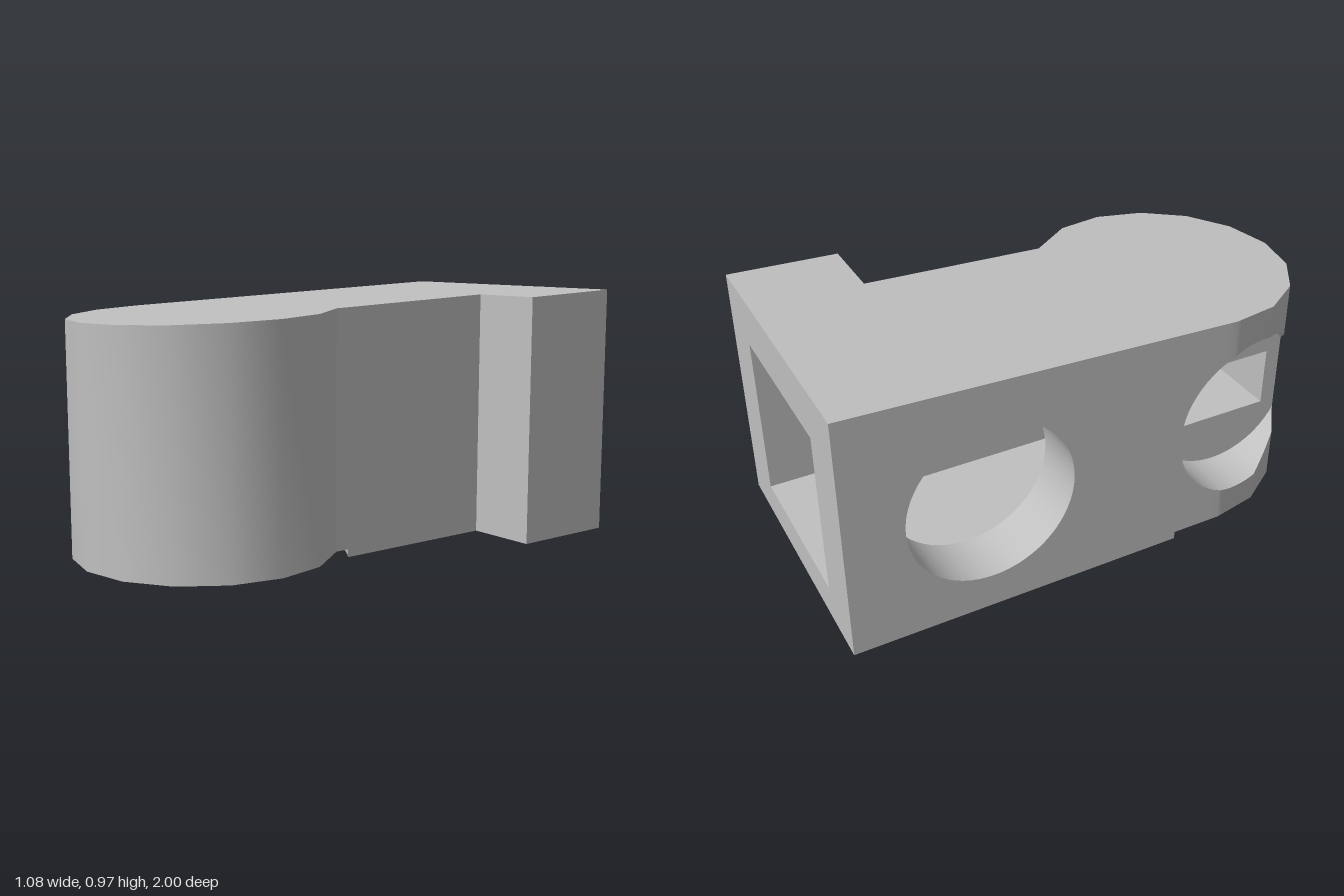
import * as THREE from 'three';
import { toCreasedNormals } from 'three/addons/utils/BufferGeometryUtils.js';

const L = -0.54, R = 0.267, W = 0.54, CX = -0.055, CZ = 0.51, RAD = 0.485;
const IN = -0.325, HY = 0.457, HR = 0.32;       // inner wall plane, side hole height and radius
const HOLES = [-0.46, 0.625];                   // z centres of the side holes
const LIFT = 0.03;                              // underside height below the round end
const top = z => 0.927 - 0.0385 * z;
const disc = d => {
  const a = d * Math.PI / 180;
  return [CX + RAD * Math.sin(a), CZ + RAD * Math.cos(a)];
};

export function createModel() {
  const group = new THREE.Group();
  const grey = new THREE.MeshStandardMaterial({ color: 0xc0c0c0, side: THREE.DoubleSide });

  const add = (name, geometry) => {
    const mesh = new THREE.Mesh(geometry, grey);
    mesh.name = name;
    group.add(mesh);
  };
  // Strips of quads between pairs of matching point rows
  const strips = (name, ...pairs) => {
    const p = [];
    for (const [a, b] of pairs)
      for (let i = 0; i < a.length - 1; i++)
        p.push(...a[i], ...a[i + 1], ...b[i + 1], ...a[i], ...b[i + 1], ...b[i]);
    const g = new THREE.BufferGeometry();
    g.setAttribute('position', new THREE.Float32BufferAttribute(p, 3));
    add(name, toCreasedNormals(g, 0.6));
  };
  // Flat face with holes, placed in space by a rule
  const face = (name, pts, holes, place) => {
    const v = q => q.map(([x, y]) => new THREE.Vector2(x, y));
    const s = new THREE.Shape(v(pts));
    holes.forEach(h => s.holes.push(new THREE.Path(v(h))));
    const g = new THREE.ShapeGeometry(s), pos = g.attributes.position;
    for (let i = 0; i < pos.count; i++) pos.setXYZ(i, ...place(pos.getX(i), pos.getY(i)));
    g.computeVertexNormals();
    add(name, g);
  };
  const rect = (a, b, c, d) => [[a, c], [b, c], [b, d], [a, d]];
  const circle = (cx, cy, r, n = 40) => Array.from({ length: n }, (_, i) => {
    const t = i / n * 2 * Math.PI;
    return [cx + r * Math.cos(t), cy + r * Math.sin(t)];
  });
  const closed = a => [...a, a[0]];
  const level = (pts, y) => pts.map(([x, z]) => [x, y, z]);

  // Plan outline, from the back round the right side to the front
  const rr = 0.525;
  const zR = CZ - Math.sqrt(rr * rr - (R - CX) ** 2), zL = CZ - Math.sqrt(rr * rr - (L - CX) ** 2);
  const round = [112.5, 90, 67.5, 45, 22.5, 0, -22.5].map(disc);
  const rim = [disc(-22.5), disc(-45), disc(-67.5), [L, CZ], [L, -1]];
  const outerX = z => {
    for (let i = 0; i < 4; i++) {
      const [a, b] = [rim[i], rim[i + 1]];
      if (z >= b[1]) return a[0] + (b[0] - a[0]) * (a[1] - z) / (a[1] - b[1]);
    }
    return L;
  };
  const t = (IN - rim[0][0]) / (rim[1][0] - rim[0][0]);
  const zEnd = rim[0][1] + t * (rim[1][1] - rim[0][1]);   // where the inner plane meets the round end

  // Columns of the pierced side
  let zs = [-1, zL, CZ, rim[1][1], rim[2][1], zEnd];
  for (const c of HOLES)
    for (let i = 0; i <= 32; i++) zs.push(c - HR * Math.cos(i / 32 * Math.PI));
  zs = zs.filter(z => z <= zEnd).sort((a, b) => b - a);
  const half = z => Math.sqrt(Math.max(0, ...HOLES.map(c => HR * HR - (z - c) ** 2)));
  const lo = z => HY - half(z), hi = z => HY + half(z);
  const col = (list, f) => list.map(z => [outerX(z), f(z), z]);
  const frontZ = zs.filter(z => z >= zL), backZ = zs.filter(z => z <= zL);

  // Outer walls
  const body = [[W, -1], [W, -0.57], [R, -0.57], [R, zR]];
  const nose = [[R, zR], [R, 0.15], ...round, [IN, zEnd]];
  const upper = pts => pts.map(([x, z]) => [x, top(z), z]);
  strips('outerWall',
    [level(body, 0), upper(body)],
    [level(nose, LIFT), upper(nose)],
    [col(frontZ, () => LIFT), col(frontZ, lo)],
    [col(backZ, () => 0), col(backZ, lo)],
    [col(zs, hi), col(zs, top)]);

  // Sloping top
  const leftRim = [disc(-45), disc(-67.5), [L, CZ]];
  face('top', [...body, [R, 0.15], ...round, ...leftRim, [L, -1]], [], (x, z) => [x, top(z), z]);

  // Underside with the raised round end and its step
  const a0 = Math.atan2(zR - CZ, R - CX), a1 = Math.atan2(zL - CZ, L - CX);
  const arc = Array.from({ length: 25 }, (_, i) => {
    const a = a0 + (a1 - a0) * i / 24;
    return [CX + rr * Math.cos(a), CZ + rr * Math.sin(a)];
  });
  const bore = circle(CX, CZ, 0.155);
  face('underside', [...body.slice(0, 3), ...arc, [L, -1]], [], (x, z) => [x, 0, z]);
  face('raisedUnderside', [...arc, ...leftRim.slice().reverse(), ...round.slice().reverse(), [R, 0.15]],
    [bore], (x, z) => [x, LIFT, z]);
  strips('undersideStep', [level(arc, 0), level(arc, LIFT)]);

  // Back face and the stepped pocket behind it
  const y0 = 0.135, y1 = 0.779, PW = 0.33, PN = 0.108, PZ = -0.78, PE = 0.11;
  face('backFace', rect(-W, W, 0, top(-1)), [rect(IN, PW, y0, y1)], (x, y) => [x, y, -1]);
  const pocket = [[PW, -1], [PW, PZ], [PN, PZ], [PN, PE], [IN, PE]];
  strips('pocketWall', [level(pocket, y0), level(pocket, y1)]);
  for (const y of [y0, y1])
    face(y === y0 ? 'pocketFloor' : 'pocketCeiling', [...pocket, [IN, -1]], [], (x, z) => [x, y, z]);
  face('pocketSide', rect(-1, PE, y0, y1), [circle(HOLES[0], HY, HR, 64)], (z, y) => [IN, y, z]);

  // Side holes
  HOLES.forEach((c, i) => {
    const list = zs.filter(z => Math.abs(z - c) <= HR + 1e-6);
    const inner = f => list.map(z => [IN, f(z), z]);
    strips(i ? 'frontSideHole' : 'backSideHole',
      [col(list, lo), inner(lo)], [inner(hi), col(list, hi)]);
    // End wall of the front hole, opening to a small chamber
    if (i) face('holeEnd', [...list.map(z => [z, lo(z)]), ...list.slice().reverse().map(z => [z, hi(z)])],
      [rect(0.35, 0.84, 0.34, 0.575)], (z, y) => [IN, y, z]);
  });

  // Small chamber above the vertical bore
  const plan = rect(IN, 0.11, 0.35, 0.84);
  const three = [plan[0], plan[1], plan[2], plan[3]];
  strips('chamberWall', [level(three, 0.34), level(three, 0.575)]);
  face('chamberFloor', plan, [bore], (x, z) => [x, 0.34, z]);
  face('chamberCeiling', plan, [], (x, z) => [x, 0.575, z]);
  strips('bore', [level(closed(bore), LIFT), level(closed(bore), 0.34)]);

  return group;
}
